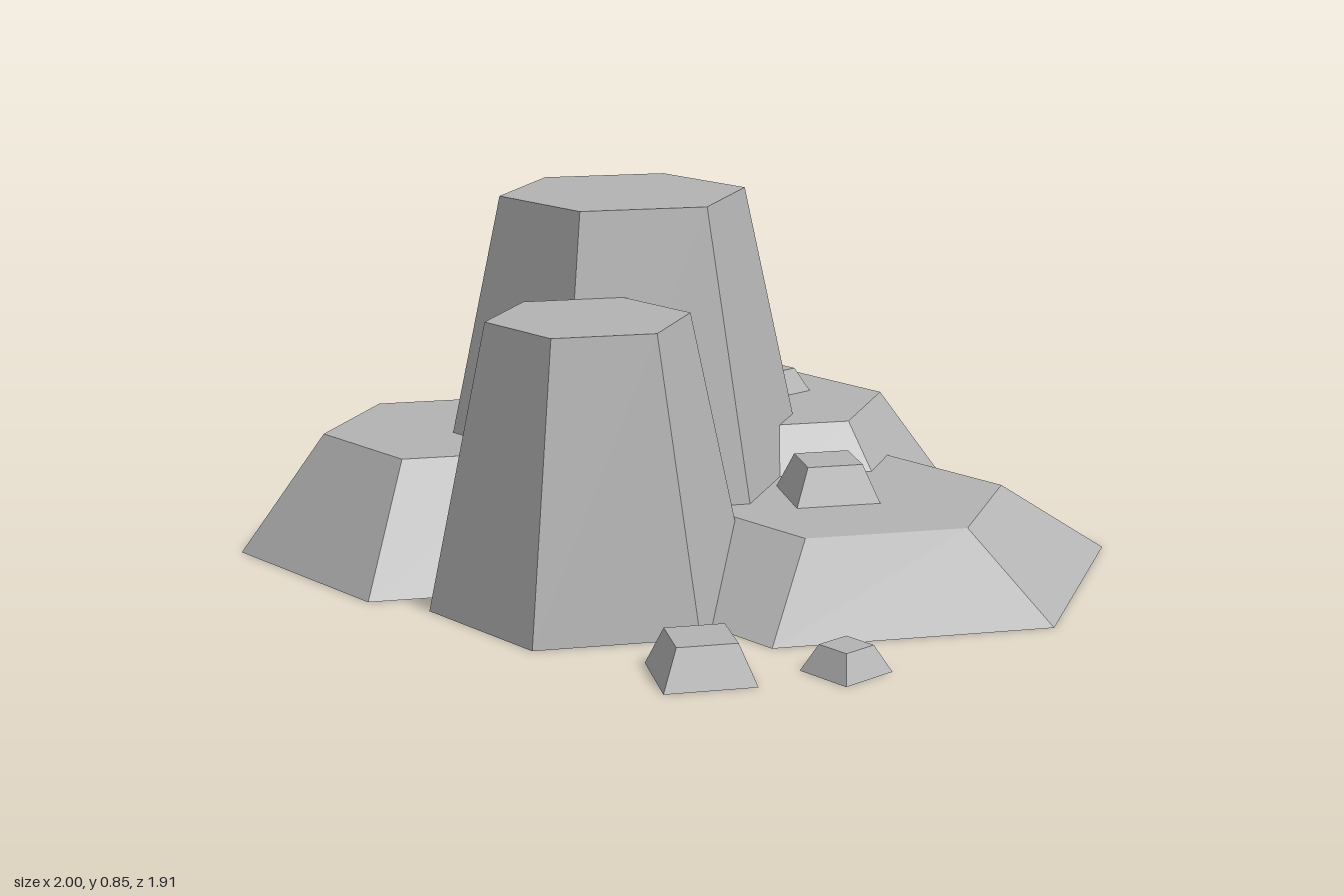
import * as THREE from 'three';

const stone = new THREE.MeshStandardMaterial({
  name: 'grey stone', color: 0xb3b3b3, flatShading: true, side: THREE.DoubleSide,
});

// Tapered prism; angle (degrees from +x towards +z) places its first corner.
function taperedRock(name, sides, angle, { x, z, y = 0, base, top, height, open = false }) {
  const start = THREE.MathUtils.degToRad(90 - angle);
  const geometry = new THREE.CylinderGeometry(top, base, height, sides, 1, open, start);
  geometry.translate(0, height / 2, 0);
  const mesh = new THREE.Mesh(geometry, stone);
  mesh.name = name;
  mesh.position.set(x, y, z);
  return mesh;
}

// Four-sided pebble with a lid and a hollow underside.
function pebble(name, x, y, z, small) {
  const [base, top, height, angle] = small ? [0.096, 0.057, 0.058, -35] : [0.14, 0.092, 0.086, -5];
  const group = new THREE.Group();
  group.name = name;
  group.position.set(x, y, z);
  group.add(taperedRock(name + 'Sides', 4, angle, { x: 0, z: 0, base, top, height, open: true }));
  const lidGeometry = new THREE.CircleGeometry(top, 4, THREE.MathUtils.degToRad(-angle));
  lidGeometry.rotateX(-Math.PI / 2);
  const lid = new THREE.Mesh(lidGeometry, stone);
  lid.name = name + 'Top';
  lid.position.y = height;
  group.add(lid);
  return group;
}

export function createModel() {
  const model = new THREE.Group();
  model.name = 'rockFormation';

  // Hexagonal columns and slabs, all turned the same way
  const rocks = {
    tallColumn: { x: -0.19, z: 0.125, base: 0.477, top: 0.295, height: 0.845 },
    frontColumn: { x: 0.075, z: 0.57, base: 0.365, top: 0.229, height: 0.65 },
    rightFrontSlab: { x: -0.49, z: 0.4, base: 0.518, top: 0.315, height: 0.28 },
    backSlab: { x: -0.083, z: -0.273, base: 0.518, top: 0.315, height: 0.28 },
    leftSlab: { x: 0.378, z: -0.003, base: 0.632, top: 0.374, height: 0.17 },
  };
  for (const [name, size] of Object.entries(rocks)) model.add(taperedRock(name, 6, 10, size));

  // Pebbles on the ground and on the slabs
  model.add(
    pebble('backPebble', -0.537, 0, -0.822, false),
    pebble('frontPebble', 0.575, 0, 0.813, false),
    pebble('leftSlabPebble', 0.34, 0.17, 0.027, false),
    pebble('smallGroundPebble', 0.8, 0, 0.612, true),
    pebble('smallBackSlabPebble', -0.11, 0.28, -0.364, true),
  );
  return model;
}
